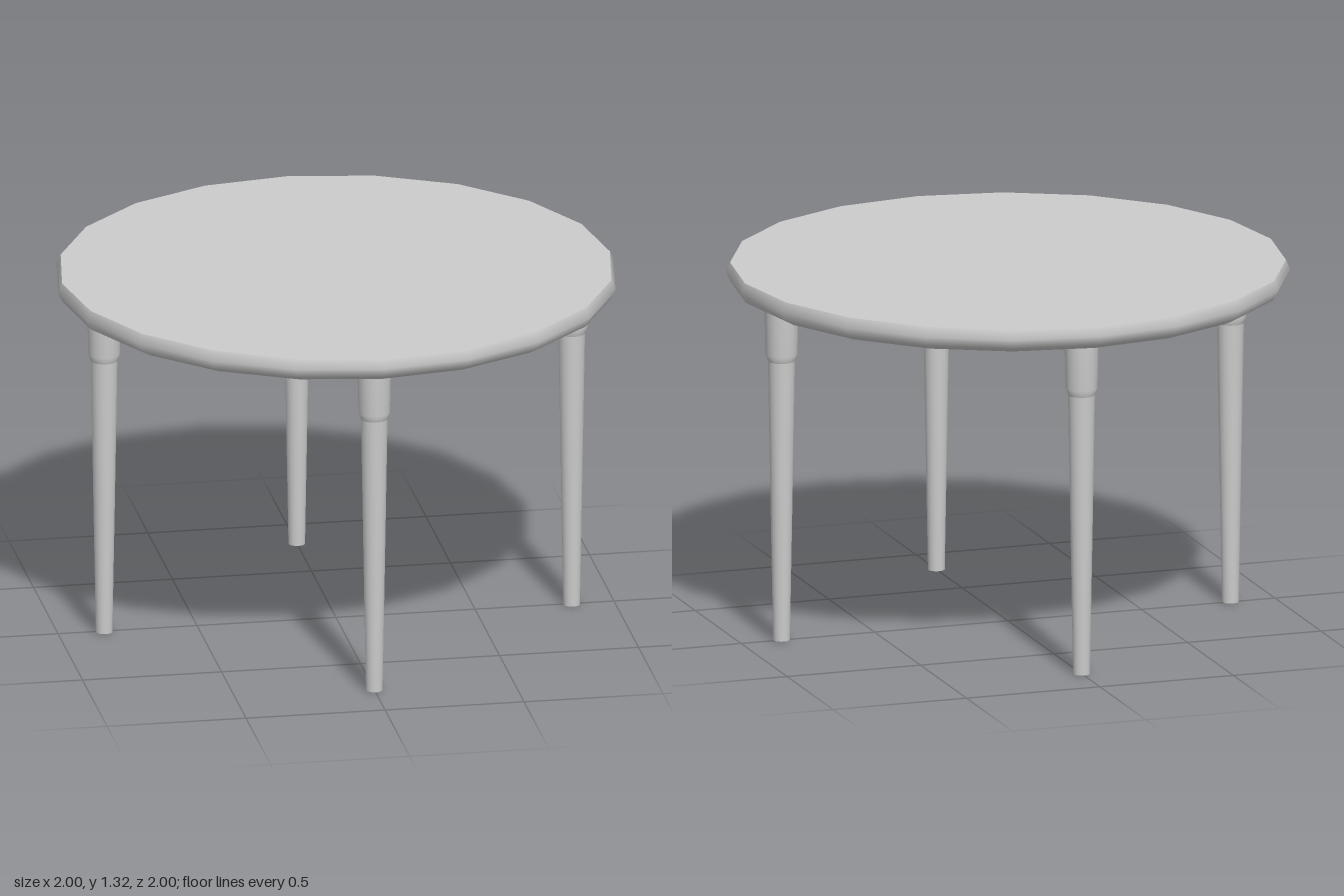
import * as THREE from 'three';

const material = new THREE.MeshStandardMaterial({ color: 0xcccccc });

// Turned solid: each profile is smooth in itself, with a sharp edge where the next begins
function turned(name, profiles, sides) {
  const group = new THREE.Group();
  group.name = name;
  profiles.forEach(([part, points]) => {
    const geometry = new THREE.LatheGeometry(points.map(([r, y]) => new THREE.Vector2(r, y)), sides);
    const mesh = new THREE.Mesh(geometry, material);
    mesh.name = part;
    group.add(mesh);
  });
  return group;
}

export function createModel() {
  const table = new THREE.Group();
  table.name = 'roundTable';

  // Twenty-sided top with a bevelled rim
  table.add(turned('tableTop', [
    ['underside', [[0, 1.227], [0.95, 1.227]]],
    ['rim', [[0.95, 1.227], [0.983, 1.245], [1, 1.28], [0.985, 1.315]]],
    ['topSurface', [[0.985, 1.315], [0, 1.316]]],
  ], 20));

  // Tapered legs, each with a thicker collar under the top
  const legs = {
    frontLeg: [0, 0.78],
    backLeg: [0, -0.8],
    leftLeg: [0.847, 0.005],
    rightLeg: [-0.835, 0.005],
  };
  for (const [name, [x, z]] of Object.entries(legs)) {
    const leg = turned(name, [
      ['foot', [[0, 0], [0.03, 0]]],
      ['shaft', [[0.03, 0], [0.039, 0.5], [0.048, 1.02]]],
      ['collar', [[0.048, 1.02], [0.057, 1.045], [0.061, 1.23]]],
    ], 16);
    leg.position.set(x, 0, z);
    table.add(leg);
  }
  return table;
}
